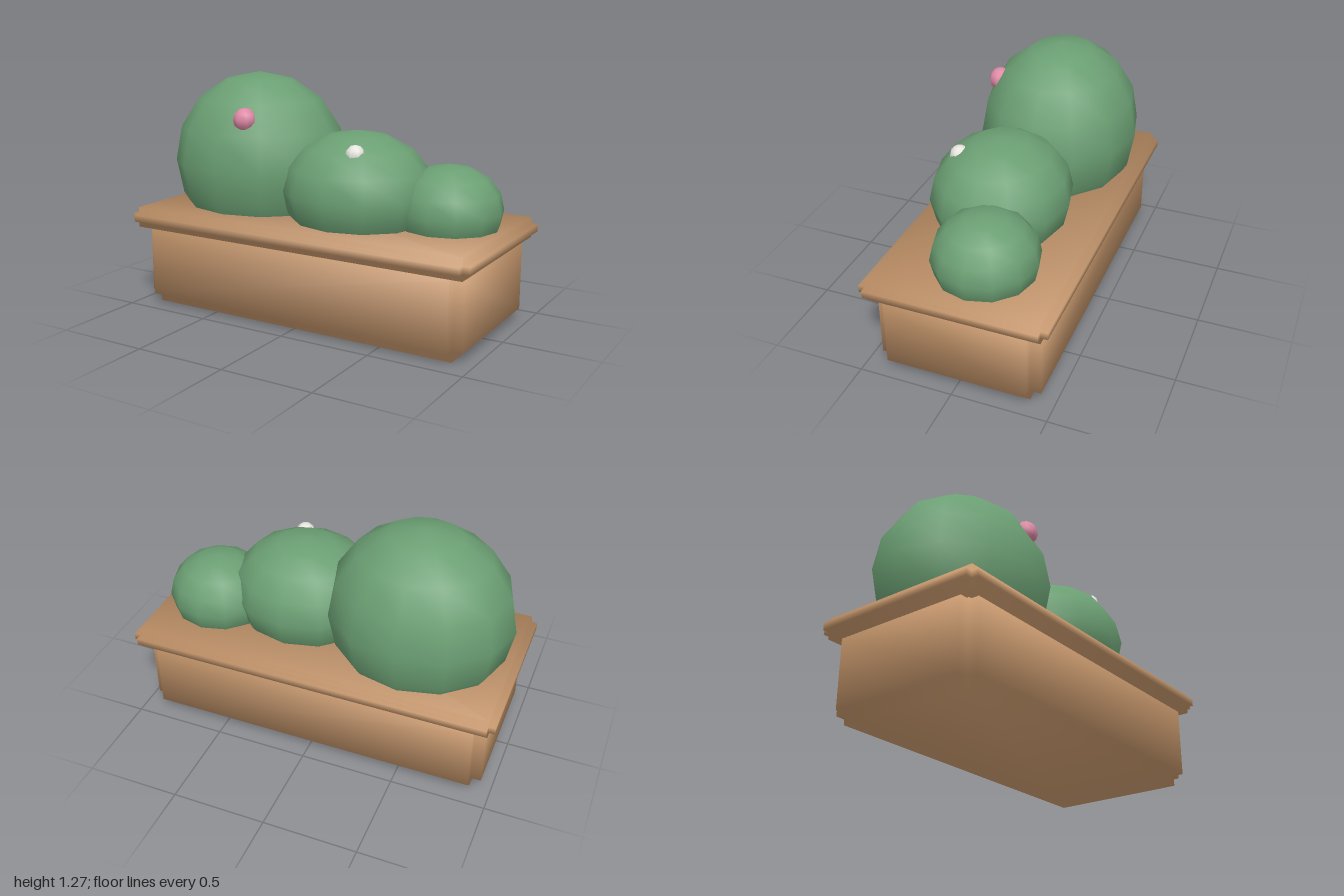
import * as THREE from 'three';

const mat = (name, color) => {
  const m = new THREE.MeshStandardMaterial({ color });
  m.name = name;
  return m;
};

// Box whose edges are cut by a square step of size b; normals fan out at the corners.
function notchedBox(hx, hy, hz, b) {
  const half = [hx, hy, hz];
  const pos = [], nor = [], idx = [];
  for (let axis = 0; axis < 3; axis++) {
    const u = (axis + 1) % 3, v = (axis + 2) % 3;
    for (const side of [-1, 1]) {
      const base = pos.length / 3;
      // four corners of the raised face, then the four below them
      for (const lift of [0, b]) {
        for (const [su, sv] of [[-1, -1], [1, -1], [1, 1], [-1, 1]]) {
          const p = [0, 0, 0], n = [0, 0, 0];
          p[axis] = side * (half[axis] - lift);
          p[u] = su * (half[u] - b);
          p[v] = sv * (half[v] - b);
          n[axis] = side; n[u] = su; n[v] = sv;
          pos.push(...p);
          nor.push(...n.map(c => c / Math.sqrt(3)));
        }
      }
      const quad = (i, j, k, l) => {
        const q = side > 0 ? [i, j, k, l] : [l, k, j, i];
        idx.push(...[q[0], q[1], q[2], q[0], q[2], q[3]].map(t => base + t));
      };
      quad(0, 1, 2, 3);
      for (let i = 0; i < 4; i++) {
        const j = (i + 1) % 4;
        quad(i, i + 4, j + 4, j);
      }
    }
  }
  const g = new THREE.BufferGeometry();
  g.setAttribute('position', new THREE.Float32BufferAttribute(pos, 3));
  g.setAttribute('normal', new THREE.Float32BufferAttribute(nor, 3));
  g.setIndex(idx);
  return g;
}

export function createModel() {
  const model = new THREE.Group();
  model.name = 'cactusPlanter';
  const clay = mat('clay', 0xc4956a);
  const green = mat('cactusGreen', 0x6b9f73);
  const pink = mat('flowerPink', 0xdf8aa6);
  const white = mat('flowerWhite', 0xe9e7e0);

  const add = (name, geometry, material, x, y, z) => {
    const mesh = new THREE.Mesh(geometry, material);
    mesh.name = name;
    mesh.position.set(x, y, z);
    model.add(mesh);
    return mesh;
  };

  // Planter trough and its wider rim slab
  add('trough', notchedBox(0.945, 0.24, 0.43, 0.056), clay, 0, 0.24, 0);
  add('rim', notchedBox(1, 0.055, 0.487, 0.036), clay, 0, 0.49, 0);

  // Round cactus bodies: name, centre, radii
  const bodies = [
    ['largeCactus', [-0.475, 0.78, -0.03], [0.495, 0.495, 0.433]],
    ['middleCactus', [0.195, 0.692, 0.052], [0.41, 0.323, 0.368]],
    ['smallCactus', [0.665, 0.63, -0.057], [0.28, 0.235, 0.273]],
  ];
  for (const [name, c, r] of bodies) {
    add(name, new THREE.SphereGeometry(1, 12, 8), green, ...c).scale.set(...r);
  }

  // Flower buds sunk into the cactus skin
  add('pinkFlower', new THREE.SphereGeometry(0.063, 8, 6), pink, -0.355, 1.055, 0.284);
  add('whiteFlower', new THREE.SphereGeometry(0.052, 8, 6), white, 0.285, 0.922, 0.245);

  return model;
}
